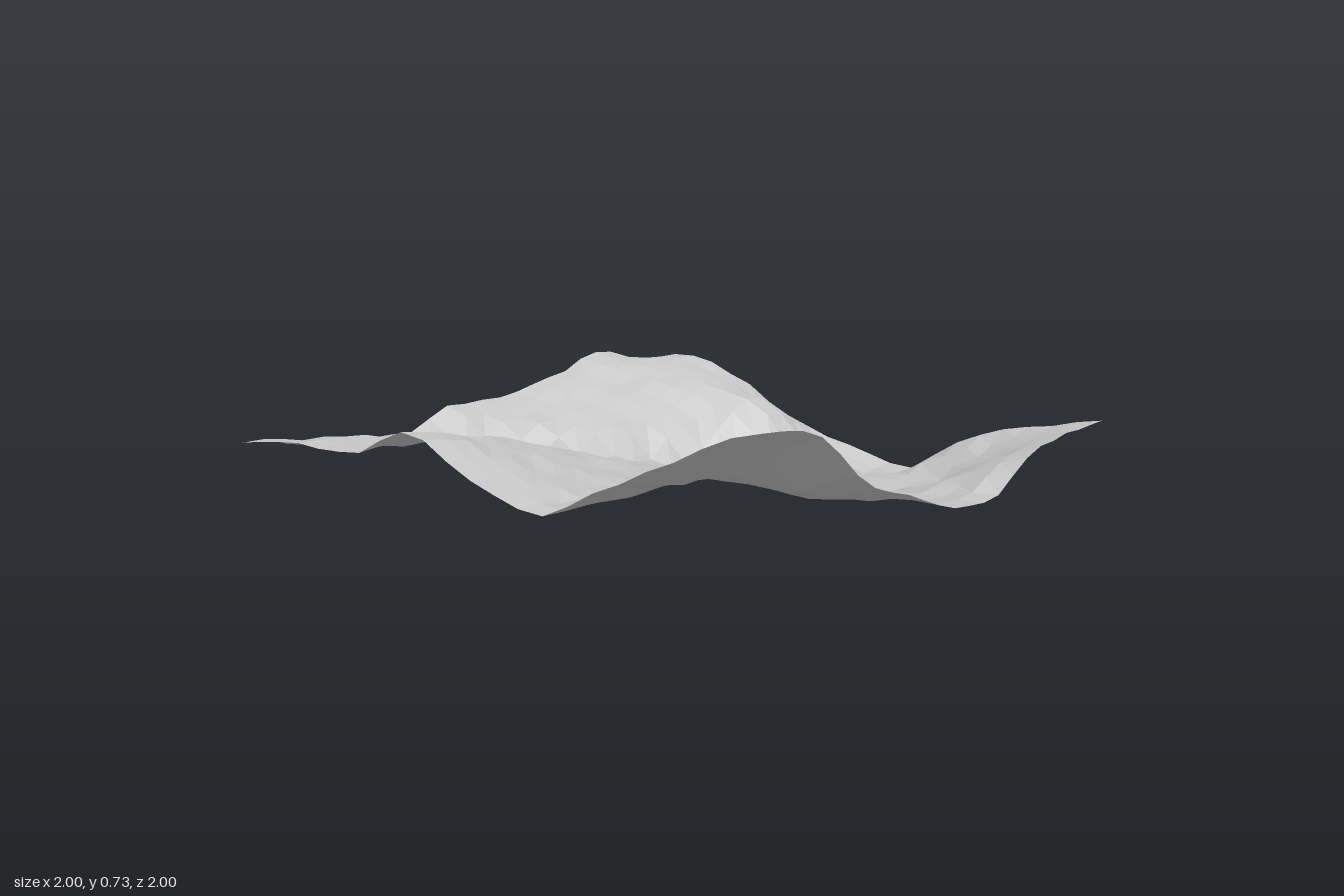
import * as THREE from 'three';

const CELLS = 22;
const { smoothstep, clamp } = THREE.MathUtils;

// Coarse height map: rows run from back (z = -1) to front (z = 1), columns from x = -1 to 1
const HEIGHTS = [
  [0.36, 0.29, 0.25, 0.21, 0.17, 0.16, 0.18, 0.22, 0.12],
  [0.40, 0.36, 0.29, 0.20, 0.13, 0.13, 0.17, 0.20, 0.20],
  [0.41, 0.38, 0.34, 0.25, 0.15, 0.11, 0.14, 0.18, 0.14],
  [0.52, 0.45, 0.37, 0.28, 0.19, 0.105, 0.06, 0.145, 0.02],
  [0.43, 0.37, 0.305, 0.24, 0.18, 0.11, 0.07, 0.05, 0.045],
  [0.375, 0.34, 0.32, 0.28, 0.235, 0.16, 0.095, 0.04, 0.013],
  [0.50, 0.45, 0.43, 0.38, 0.285, 0.17, 0.10, 0.08, 0.17],
  [0.63, 0.54, 0.40, 0.32, 0.27, 0.20, 0.21, 0.21, 0.25],
  [0.745, 0.68, 0.485, 0.385, 0.285, 0.25, 0.335, 0.335, 0.325],
];

// x of the stream bed for each row of the height map
const STREAM = [-0.25, -0.08, 0.12, 0.38, 0.62, 1.1, 1.5, 1.5, 1.5];

// Smooth interpolation through evenly spaced values, t from -1 to 1
function spline(values, t) {
  const last = values.length - 1;
  const s = (t + 1) / 2 * last;
  const i = Math.min(Math.floor(s), last - 1);
  const at = (k) => values[clamp(k, 0, last)];
  const f = s - i;
  const m0 = (at(i + 1) - at(i - 1)) / 2;
  const m1 = (at(i + 2) - at(i)) / 2;
  const a = at(i), b = at(i + 1);
  return a + f * (m0 + f * (3 * (b - a) - 2 * m0 - m1 + f * (2 * (a - b) + m0 + m1)));
}

function terrainHeight(x, z) {
  const base = spline(HEIGHTS.map((row) => spline(row, x)), z);
  // Steep bank on the far side of the stream, widening and fading downstream
  const width = 0.13 + 0.17 * smoothstep(z, -0.45, -0.1);
  const bank = 0.09 * smoothstep(x - spline(STREAM, z), 0, width)
    * (1 - smoothstep(z, -0.25, 0.02));
  // Bluff at the end of the front ridge, reaching further forward at its tip
  const front = 0.53 + 0.1 * smoothstep(x, -0.22, -0.08);
  const bluff = 0.055 * smoothstep(x, -0.6, -0.1) * (1 - smoothstep(x, 0.08, 0.19))
    * smoothstep(z, 0.25, 0.5) * (1 - smoothstep(z, front, front + 0.14));
  return base + bank + bluff;
}

function seeded(seed) {
  let s = seed;
  return () => (s = (s * 16807) % 2147483647) / 2147483647;
}

export function createModel() {
  const group = new THREE.Group();
  group.name = 'landscape';

  const stone = new THREE.MeshStandardMaterial({
    color: 0xcccccc, flatShading: true, side: THREE.DoubleSide,
  });
  stone.name = 'pale grey';

  // Terrain sheet: a flat grid raised by the height rule, with slight roughness
  const geometry = new THREE.PlaneGeometry(2, 2, CELLS, CELLS).rotateX(-Math.PI / 2);
  const pos = geometry.attributes.position;
  const random = seeded(7);
  for (let i = 0; i < pos.count; i++) {
    const x = clamp(pos.getX(i), -1, 1);
    const z = clamp(pos.getZ(i), -1, 1);
    pos.setY(i, terrainHeight(x, z) + (random() - 0.5) * 0.014);
  }
  // Rest the lowest point on the ground
  geometry.computeBoundingBox();
  geometry.translate(0, -geometry.boundingBox.min.y, 0);
  geometry.computeVertexNormals();

  const terrain = new THREE.Mesh(geometry, stone);
  terrain.name = 'terrain';
  group.add(terrain);
  return group;
}
